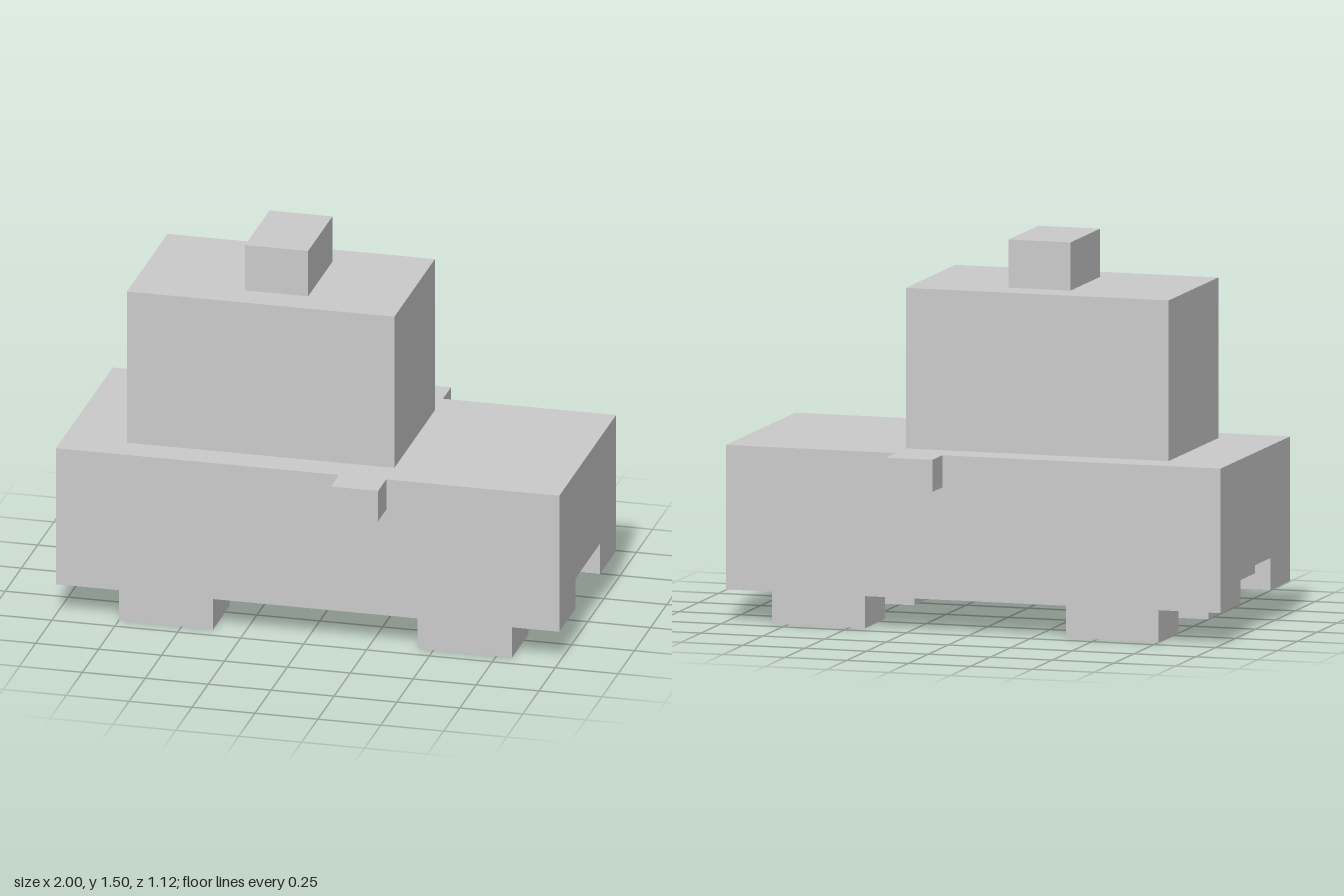
import * as THREE from 'three';

const material = new THREE.MeshStandardMaterial({ color: 0xcccccc, flatShading: true });

export function createModel() {
  const group = new THREE.Group();

  // Box given by its extents, measured in sixteenths of a unit
  const box = (name, x0, x1, y0, y1, z0, z1) => {
    const mesh = new THREE.Mesh(
      new THREE.BoxGeometry((x1 - x0) / 16, (y1 - y0) / 16, (z1 - z0) / 16), material);
    mesh.position.set((x0 + x1) / 32, (y0 + y1) / 32, (z0 + z1) / 32);
    mesh.name = name;
    group.add(mesh);
  };

  // Body as one extruded arch, leaving a channel along the underside
  const profile = new THREE.Shape();
  [[-7, 2], [-3, 2], [-3, 4], [3, 4], [3, 2], [7, 2], [7, 11], [-7, 11]]
    .forEach(([z, y], i) => profile[i ? 'lineTo' : 'moveTo'](z / 16, y / 16));
  const bodyGeometry = new THREE.ExtrudeGeometry(profile, { depth: 2, bevelEnabled: false });
  bodyGeometry.translate(0, 0, -1).rotateY(Math.PI / 2);
  const body = new THREE.Mesh(bodyGeometry, material);
  body.name = 'body';
  group.add(body);

  // Cabin with a roof block
  box('cabin', -12, 5, 11, 21, -5, 5);
  box('roofBlock', -5, -1, 21, 24, -3, 3);

  // Wheels and side mirrors on both sides
  for (const [side, s] of [['left', 1], ['right', -1]]) {
    const span = (a, b) => (s > 0 ? [a, b] : [-b, -a]);
    box(side + 'FrontWheel', 7, 13, 0, 2, ...span(3, 7));
    box(side + 'RearWheel', -12, -6, 0, 2, ...span(3, 7));
    box(side + 'Mirror', 2, 5, 9, 11, ...span(7, 9));
  }

  // Axles, drive shaft and end crossbars in the channel
  box('frontAxle', 9, 11, 2, 4, -3, 3);
  box('rearAxle', -10, -8, 2, 4, -3, 3);
  box('driveShaft', -8, 9, 2, 4, -1, 1);
  box('frontCrossbar', 14, 15, 3, 4, -3, 3);
  box('rearCrossbar', -15, -14, 3, 4, -3, 3);

  return group;
}
